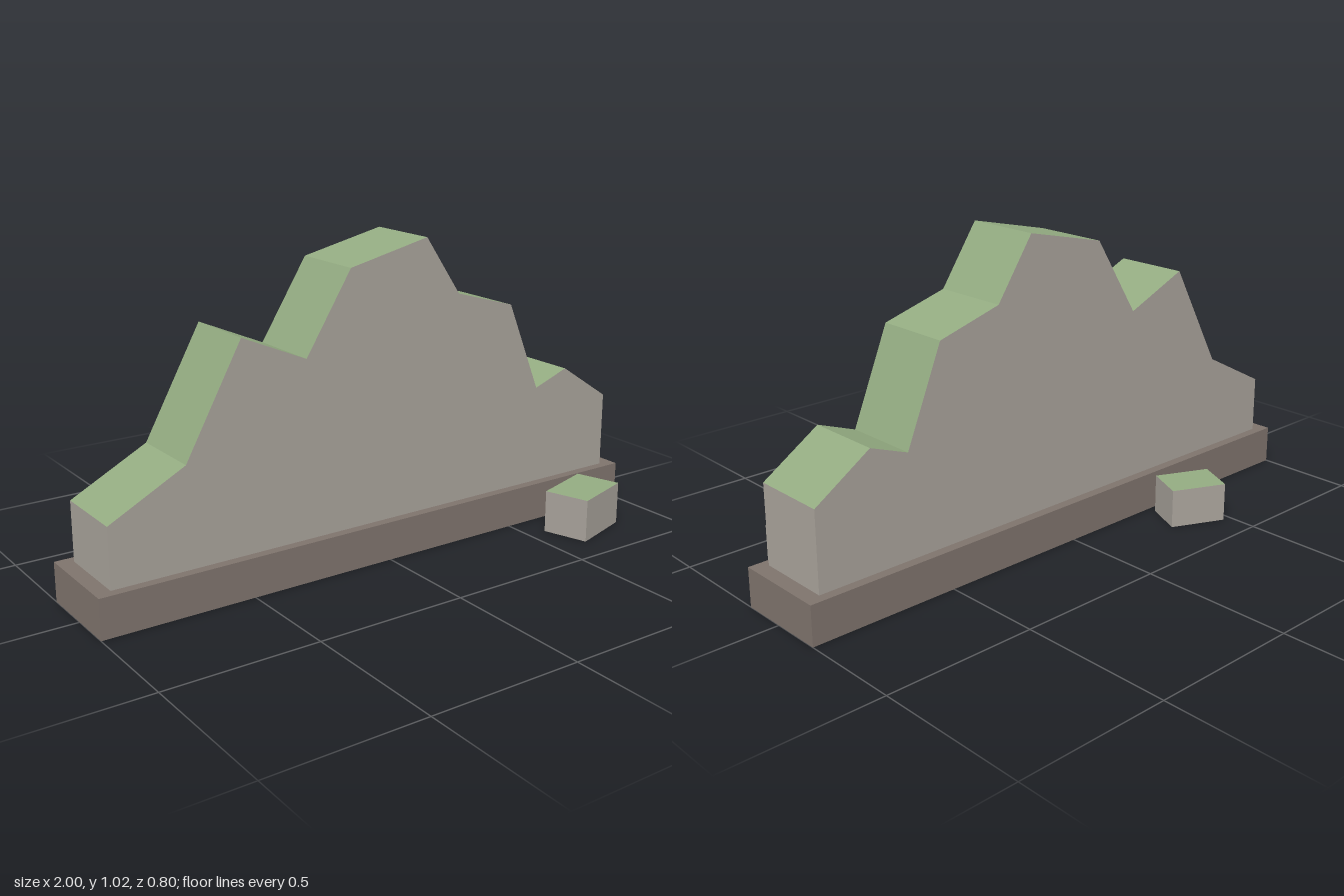
import * as THREE from 'three';

const rock = new THREE.MeshStandardMaterial({ color: 0xa8a29a });
rock.name = 'rock grey';
const soil = new THREE.MeshStandardMaterial({ color: 0x7e736c, side: THREE.DoubleSide });
soil.name = 'plinth brown';
const moss = new THREE.MeshStandardMaterial({ color: 0x93ab81 });
moss.name = 'moss green';

// Upward faces get moss, all other faces bare rock
function mossyMesh(geometry, name) {
  const geo = geometry.index ? geometry.toNonIndexed() : geometry;
  geo.clearGroups();
  geo.computeVertexNormals();
  const normal = geo.attributes.normal;
  for (let i = 0; i < normal.count; i += 3) {
    geo.addGroup(i, 3, normal.getY(i) > 0.05 ? 1 : 0);
  }
  const mesh = new THREE.Mesh(geo, [rock, moss]);
  mesh.name = name;
  return mesh;
}

// Loose block standing on the ground
function boulder(name, width, height, depth, x, z, turn) {
  const mesh = mossyMesh(new THREE.BoxGeometry(width, height, depth), name);
  mesh.position.set(x, height / 2, z);
  mesh.rotation.y = turn;
  return mesh;
}

export function createModel() {
  const model = new THREE.Group();
  model.name = 'rockRidge';

  // Ridge: jagged skyline extruded through the plinth down to the ground
  const skyline = [
    [-0.95, 0.32], [-0.7, 0.45], [-0.51, 0.795], [-0.29, 0.7], [-0.13, 0.955], [0.155, 1.02],
    [0.285, 0.828], [0.505, 0.765], [0.63, 0.462], [0.76, 0.51], [0.95, 0.385],
  ];
  const outline = [[-0.95, 0], ...skyline, [0.95, 0]].map(([x, y]) => new THREE.Vector2(x, y));
  const ridge = mossyMesh(
    new THREE.ExtrudeGeometry(new THREE.Shape(outline), { depth: 0.253, bevelEnabled: false }),
    'ridge'
  );
  ridge.position.z = -0.137;
  model.add(ridge);

  // Plinth: box left open underneath
  const plinthGeo = new THREE.BoxGeometry(2, 0.128, 0.316);
  plinthGeo.groups.splice(3, 1);
  const plinth = new THREE.Mesh(plinthGeo, Array(6).fill(soil));
  plinth.name = 'plinth';
  plinth.position.set(0, 0.064, -0.011);
  model.add(plinth);

  // Boulders before and behind the ridge
  model.add(boulder('frontBoulder', 0.22, 0.143, 0.155, 0.697, 0.29, 0.31));
  model.add(boulder('backBoulder', 0.187, 0.128, 0.139, -0.415, -0.297, -0.43));

  return model;
}
